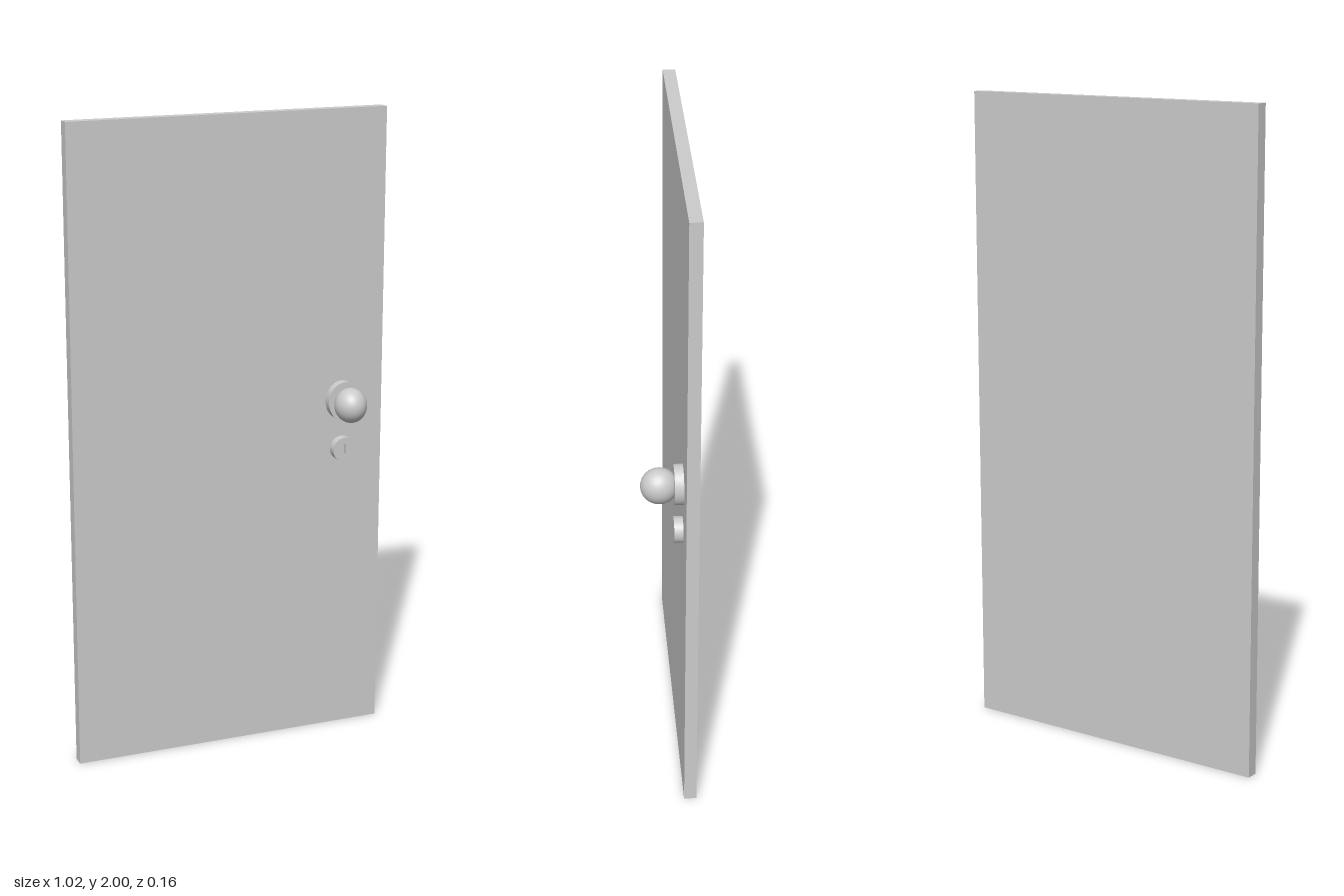
import * as THREE from 'three';

const FRONT = -0.043; // front face of the door slab
const BACK = -0.081;
const KNOB_X = 0.372;

export function createModel() {
  const group = new THREE.Group();
  const material = new THREE.MeshStandardMaterial({ color: 0xcccccc });
  const add = (name, geometry, x, y, z) => {
    const mesh = new THREE.Mesh(geometry, material);
    mesh.name = name;
    mesh.position.set(x, y, z);
    group.add(mesh);
    return mesh;
  };

  // Plain slab
  add('doorSlab', new THREE.BoxGeometry(1.02, 2, FRONT - BACK), 0, 1, (FRONT + BACK) / 2);

  // Oval plate behind the knob
  const plate = new THREE.CylinderGeometry(1, 1, 0.027, 48).rotateX(Math.PI / 2);
  plate.scale(0.0545, 0.062, 1);
  add('knobPlate', plate, KNOB_X, 1.092, FRONT + 0.0135);

  // Slightly narrow ball knob, sunk into the plate
  const knob = new THREE.SphereGeometry(1, 40, 28).rotateX(Math.PI / 2);
  knob.scale(0.05, 0.055, 0.055);
  add('knob', knob, KNOB_X, 1.09, 0.026);

  // Round lock with a vertical key slot
  const face = new THREE.Shape().absarc(0, 0, 0.039, 0, Math.PI * 2, false);
  const w = 0.0035, h = 0.018;
  face.holes.push(new THREE.Path([
    new THREE.Vector2(-w, -h), new THREE.Vector2(-w, h),
    new THREE.Vector2(w, h), new THREE.Vector2(w, -h),
  ]));
  const lock = new THREE.ExtrudeGeometry(face, { depth: 0.027, bevelEnabled: false, curveSegments: 40 });
  add('lockCylinder', lock, 0.374, 0.935, FRONT);

  return group;
}
